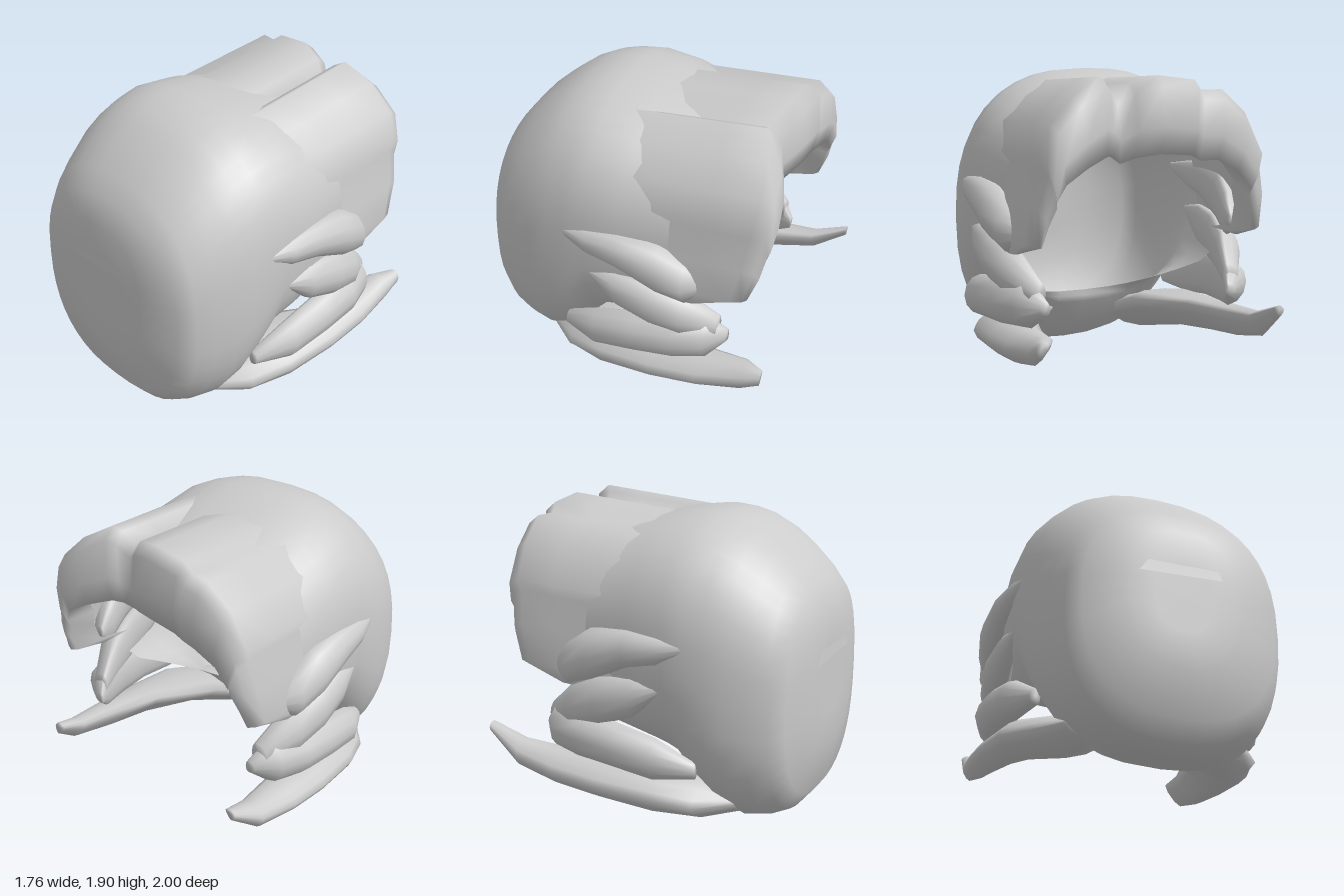
import * as THREE from 'three';

const material = new THREE.MeshStandardMaterial({ color: 0xcccccc, side: THREE.DoubleSide });
const lerp = THREE.MathUtils.lerp;

// Skin a surface over cross-sections given as lists of [x, y, z].
function loft(name, rings, closed) {
  const n = rings[0].length;
  const index = [];
  for (let i = 0; i < rings.length - 1; i++) {
    for (let j = 0; j < (closed ? n : n - 1); j++) {
      const a = i * n + j, b = i * n + ((j + 1) % n);
      index.push(a, a + n, b, b, a + n, b + n);
    }
  }
  const geometry = new THREE.BufferGeometry();
  geometry.setAttribute('position', new THREE.Float32BufferAttribute(rings.flat(2), 3));
  geometry.setIndex(index);
  geometry.computeVertexNormals();
  const mesh = new THREE.Mesh(geometry, material);
  mesh.name = name;
  return mesh;
}

// Rounded hollow shell, flat in front and open behind; the floor curls up and ends early.
function makeShell() {
  const stations = [ // z, half width, bottom, top
    [0.995, 0.001, 0.9, 0.902], [0.995, 0.18, 0.68, 1.12], [0.995, 0.35, 0.47, 1.33], [0.93, 0.6, 0.18, 1.48],
    [0.84, 0.67, 0.07, 1.59], [0.73, 0.72, 0.02, 1.69], [0.6, 0.765, 0, 1.79], [0.48, 0.785, 0.05, 1.85],
    [0.36, 0.795, 0.17, 1.88], [0.23, 0.8, 0.34, 1.89], [0, 0.79, 0.38, 1.86], [-0.3, 0.74, 0.42, 1.78],
  ];
  const power = (v) => Math.sign(v) * Math.abs(v) ** (2 / 2.5);
  const rings = stations.map(([z, w, lo, hi]) => {
    const ring = [];
    for (let j = 0; j < 40; j++) {
      const a = (j / 40) * Math.PI * 2;
      const height = (power(Math.sin(a)) + 1) / 2;
      const reach = Math.min(1, height / 0.2);
      ring.push([power(Math.cos(a)) * w, lerp(lo, hi, height), z < 0.23 ? lerp(0.23, z, reach) : z]);
    }
    return ring.reverse();
  });
  return loft('shell', rings, true);
}

// Fluted canopy that runs back over the top and folds down into a curtain.
function makeCanopy() {
  const arch = [ // x, y, z of the back edge
    [0.79, 0.87, -0.5], [0.8, 0.97, -0.75], [0.78, 1.2, -0.81], [0.73, 1.41, -0.84], [0.74, 1.48, -0.86],
    [0.68, 1.66, -0.88], [0.52, 1.81, -0.86], [0.34, 1.91, -0.8], [0.28, 1.88, -0.76], [0.21, 1.8, -0.72],
    [0.12, 1.87, -0.78], [-0.04, 1.91, -0.83], [-0.28, 1.88, -0.85], [-0.33, 1.82, -0.84],
    [-0.46, 1.82, -0.87], [-0.63, 1.68, -0.86], [-0.74, 1.47, -0.86], [-0.73, 1.4, -0.84],
    [-0.78, 1.2, -0.81], [-0.8, 0.97, -0.75], [-0.79, 0.87, -0.5],
  ];
  const over = [0, 0.3, 0.65, 0.93].map((s) => arch.map(([x, y, z]) =>
    [x * lerp(0.96, 0.95, s), y * lerp(0.96, 1, s), lerp(0.08, z, s)]));
  const fold = (kx, ky, dz) => arch.map(([x, y, z]) => [x * kx, 0.93 + (y - 0.93) * ky, z + dz]);
  const rings = [...over, fold(0.92, 0.93, -0.01), fold(0.87, 0.7, -0.03), fold(0.84, 0.54, 0), fold(0.83, 0.58, 0.2)];
  return loft('canopy', rings, false);
}

// Close a row of rings with a point at each end.
function makeLoop(name, rings, side) {
  const cap = (ring) => ring.map(() => [0, 1, 2].map((k) => ring.reduce((sum, p) => sum + p[k], 0) / ring.length));
  const all = [cap(rings[0]), ...rings, cap(rings[rings.length - 1])];
  return loft(name, side > 0 ? all.map((ring) => [...ring].reverse()) : all, true);
}

// Side locks, rounded outside and flatter inside: centre x, y, z, half height, thickness.
const locks = {
  upperLock: [
    [0.74, 1.19, 0.42, 0.02, 0.03], [0.76, 1.16, 0.2, 0.09, 0.08], [0.76, 1.15, 0, 0.12, 0.11],
    [0.75, 1.08, -0.25, 0.16, 0.13], [0.71, 1.0, -0.42, 0.14, 0.13], [0.67, 0.98, -0.53, 0.04, 0.05],
  ],
  middleLock: [
    [0.75, 0.92, 0.22, 0.02, 0.03], [0.75, 0.85, 0.02, 0.13, 0.09], [0.73, 0.8, -0.2, 0.16, 0.13],
    [0.69, 0.73, -0.4, 0.15, 0.13], [0.62, 0.64, -0.59, 0.07, 0.08],
  ],
  lowerLock: [
    [0.68, 0.42, 0.4, 0.05, 0.05], [0.74, 0.48, 0.17, 0.13, 0.11], [0.74, 0.53, -0.1, 0.14, 0.13],
    [0.71, 0.56, -0.35, 0.15, 0.15], [0.66, 0.57, -0.54, 0.14, 0.13], [0.6, 0.56, -0.64, 0.04, 0.05],
  ],
};

function makeLock(name, sections, side) {
  const rings = sections.map(([x, y, z, h, t]) => {
    const ring = [];
    for (let j = 0; j < 12; j++) {
      const a = (j / 12) * Math.PI * 2;
      const u = Math.cos(a) * t;
      ring.push([side * (x + (u < 0 ? u * 0.4 : u)), y + Math.sin(a) * h, z]);
    }
    return ring;
  });
  return makeLoop(name, rings, side);
}

// Wedge-shaped blades under the locks: z, then outer, top, inner and bottom corners.
const blade = [
  [0.6, [0.58, 0.2], [0.48, 0.25], [0.3, 0.16], [0.43, 0.11]],
  [0.4, [0.75, 0.2], [0.58, 0.32], [0.2, 0.25], [0.5, 0.07]],
  [0.15, [0.84, 0.25], [0.71, 0.37], [0.3, 0.35], [0.69, 0.12]],
  [-0.2, [0.87, 0.28], [0.75, 0.39], [0.54, 0.37], [0.74, 0.17]],
  [-0.5, [0.86, 0.31], [0.76, 0.41], [0.62, 0.39], [0.76, 0.21]],
  [-0.78, [0.82, 0.36], [0.75, 0.44], [0.66, 0.42], [0.77, 0.28]],
];
const bladeTips = {
  1: [-0.9, [0.81, 0.41], [0.78, 0.45], [0.73, 0.43], [0.79, 0.36]],
  [-1]: [-1, [0.78, 0.5], [0.75, 0.53], [0.71, 0.52], [0.75, 0.46]],
};

function makeBlade(name, side) {
  const inset = side > 0 ? 0.04 : 0; // the left blade sits a little closer in
  const rings = [...blade, bladeTips[side]].map(([z, ...corners]) => {
    const points = corners.map(([x, y]) => new THREE.Vector3(side * (x - inset), y, z));
    return new THREE.CatmullRomCurve3(points, true).getPoints(12).slice(0, 12).map((p) => p.toArray());
  });
  return makeLoop(name, rings, side);
}

export function createModel() {
  const model = new THREE.Group();
  model.add(makeShell(), makeCanopy());

  for (const side of [1, -1]) {
    const label = side > 0 ? 'left' : 'right';
    for (const [name, sections] of Object.entries(locks)) {
      model.add(makeLock(`${label} ${name}`, sections, side));
    }
    model.add(makeBlade(`${label} bottomBlade`, side));
  }

  // Shallow ledge on the flat front
  model.add(loft('frontLedge', [
    [[-0.22, 1.11, 0.995], [0.22, 1.11, 0.995]],
    [[-0.28, 1.03, 1], [0.24, 1.05, 1]],
  ], false));
  return model;
}
